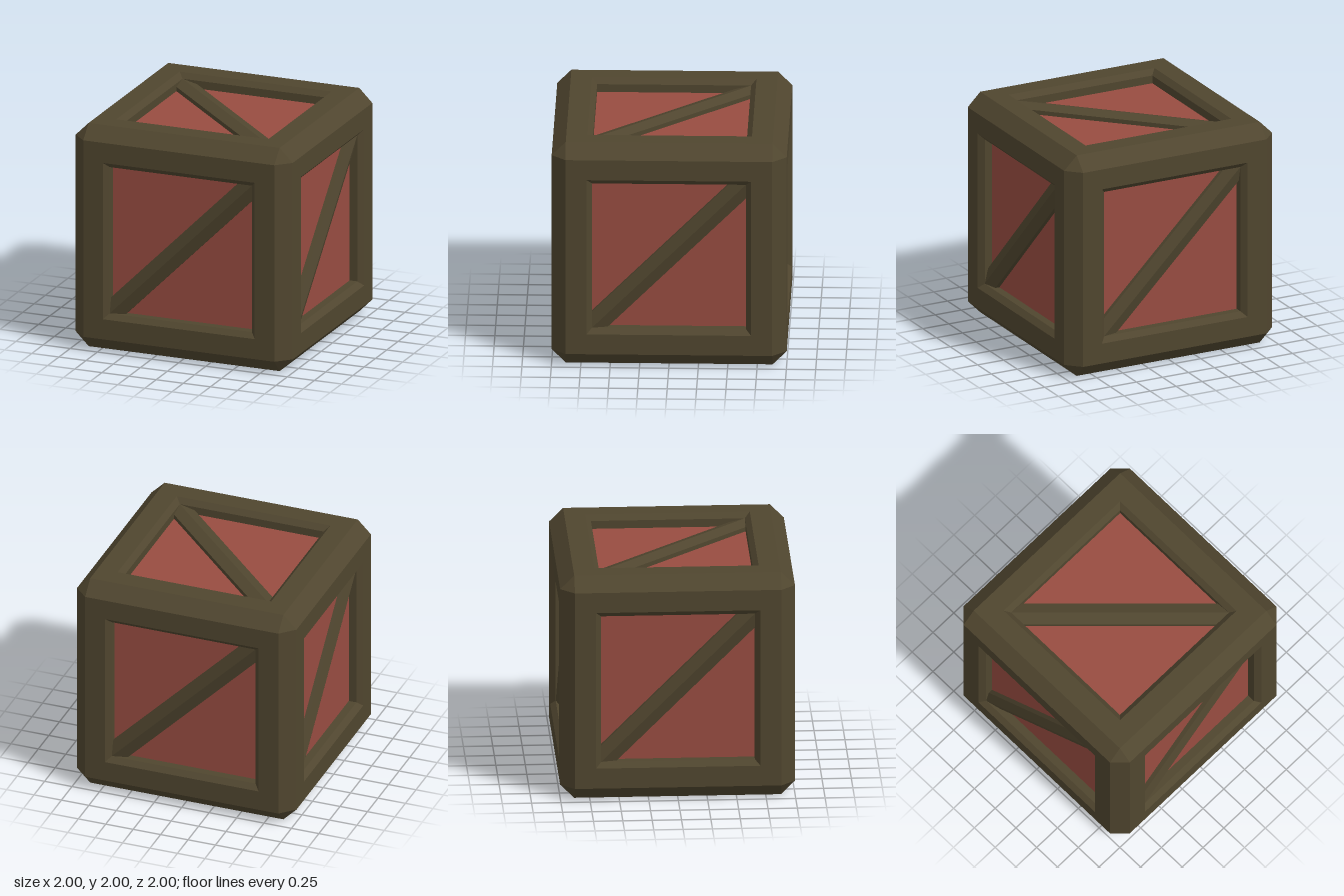
import * as THREE from 'three';
import { mergeGeometries } from 'three/addons/utils/BufferGeometryUtils.js';

const FLAT = 0.88;      // half width of each flat face inside the chamfers
const OPENING = 0.70;   // half width of the opening at the surface
const PANEL = 0.655;    // half width of the recessed panel
const FLOOR = 0.885;    // distance of the panel from the centre

// flat-shaded surface from quads of corner points
function quads(list) {
  const pos = [];
  for (const [a, b, c, d] of list) pos.push(...a, ...b, ...c, ...a, ...c, ...d);
  const g = new THREE.BufferGeometry();
  g.setAttribute('position', new THREE.Float32BufferAttribute(pos, 3));
  g.computeVertexNormals();
  return g;
}

const square = (r, z) => [[-r, -r, z], [r, -r, z], [r, r, z], [-r, r, z]];

// flat border, bevelled lip and straight inner walls of one side
function frameGeometry() {
  const rings = [square(FLAT, 1), square(OPENING, 1), square(PANEL, 0.955), square(PANEL, FLOOR)];
  const list = [];
  for (let k = 0; k < rings.length - 1; k++) {
    for (let i = 0; i < 4; i++) {
      const j = (i + 1) % 4;
      list.push([rings[k][i], rings[k][j], rings[k + 1][j], rings[k + 1][i]]);
    }
  }
  return quads(list);
}

// diagonal brace with a low ridge, cut to fit the square recess
function braceGeometry() {
  const p = PANEL, w = 0.135, ridge = FLOOR + 0.07, shoulder = FLOOR + 0.038;
  const A = [-p, -p, ridge], D = [p, p, ridge];
  const B = (z) => [-p + w, -p, z], C = (z) => [p, p - w, z];
  const E = (z) => [p - w, p, z], F = (z) => [-p, -p + w, z];
  return quads([
    [A, B(shoulder), C(shoulder), D],
    [D, E(shoulder), F(shoulder), A],
    [B(FLOOR), C(FLOOR), C(shoulder), B(shoulder)],
    [E(FLOOR), F(FLOOR), F(shoulder), E(shoulder)],
  ]);
}

// twelve chamfered edges
function edgeGeometry() {
  const mid = (1 + FLAT) / 2, parts = [];
  for (const axis of ['x', 'y', 'z']) {
    for (let k = 0; k < 4; k++) {
      const g = new THREE.PlaneGeometry(2 * FLAT, (1 - FLAT) * Math.SQRT2);
      g.rotateX(-Math.PI / 4).translate(0, mid, mid).rotateX(k * Math.PI / 2);
      if (axis === 'y') g.rotateZ(Math.PI / 2);
      if (axis === 'z') g.rotateY(Math.PI / 2);
      parts.push(g);
    }
  }
  return mergeGeometries(parts);
}

// eight triangular corners
function cornerGeometry() {
  const pos = [];
  for (const x of [-1, 1]) for (const y of [-1, 1]) for (const z of [-1, 1]) {
    const a = [x, y * FLAT, z * FLAT], b = [x * FLAT, y, z * FLAT], c = [x * FLAT, y * FLAT, z];
    pos.push(...(x * y * z > 0 ? [a, b, c] : [a, c, b]).flat());
  }
  const g = new THREE.BufferGeometry();
  g.setAttribute('position', new THREE.Float32BufferAttribute(pos, 3));
  g.computeVertexNormals();
  return g;
}

export function createModel() {
  const wood = new THREE.MeshStandardMaterial({ name: 'darkWood', color: 0x50462f });
  const red = new THREE.MeshStandardMaterial({ name: 'redPanel', color: 0x984c41 });

  const crate = new THREE.Group();
  crate.name = 'crate';
  const add = (parent, name, geometry, material) => {
    const mesh = new THREE.Mesh(geometry, material);
    mesh.name = name;
    parent.add(mesh);
  };

  const frame = frameGeometry(), brace = braceGeometry();
  const panel = new THREE.PlaneGeometry(2 * PANEL, 2 * PANEL).translate(0, 0, FLOOR);

  // six equal sides; top and bottom get a quarter turn for their braces
  const q = Math.PI / 2;
  const sides = {
    front: [0, 0, 0], right: [0, q, 0], back: [0, 2 * q, 0], left: [0, -q, 0],
    top: [-q, 0, q], bottom: [q, 0, q],
  };
  for (const [name, turn] of Object.entries(sides)) {
    const side = new THREE.Group();
    side.name = name + 'Side';
    side.rotation.set(...turn);
    add(side, 'frame', frame, wood);
    add(side, 'panel', panel, red);
    add(side, 'diagonalBrace', brace, wood);
    crate.add(side);
  }

  add(crate, 'chamferedEdges', edgeGeometry(), wood);
  add(crate, 'corners', cornerGeometry(), wood);

  crate.position.y = 1;
  const model = new THREE.Group();
  model.name = 'woodenCrate';
  model.add(crate);
  return model;
}
